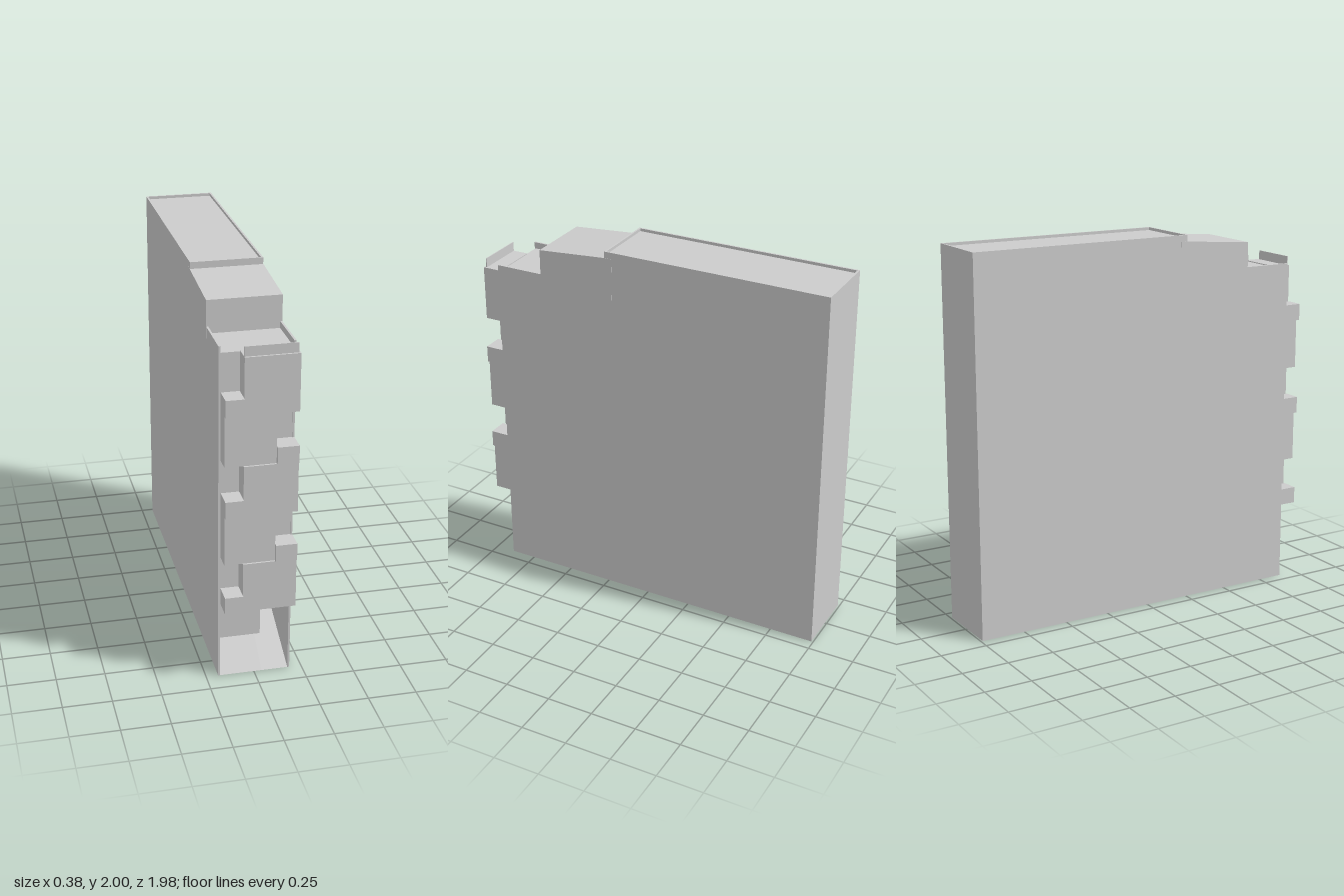
import * as THREE from 'three';

export function createModel() {
  const model = new THREE.Group();
  const mat = new THREE.MeshStandardMaterial({ color: 0xcccccc, flatShading: true, side: THREE.DoubleSide });
  const HALF = 0.1875, WALL = 0.01;

  const add = (name, geometry) => {
    const mesh = new THREE.Mesh(geometry, mat);
    mesh.name = name;
    model.add(mesh);
    return mesh;
  };

  // Box given by its lower and upper corners
  const box = (name, x0, x1, y0, y1, z0, z1) => {
    const mesh = add(name, new THREE.BoxGeometry(x1 - x0, y1 - y0, z1 - z0));
    mesh.position.set((x0 + x1) / 2, (y0 + y1) / 2, (z0 + z1) / 2);
  };

  // Side profile of [z, y] points, extruded across x
  const slab = (name, x0, x1, points) => {
    const shape = new THREE.Shape(points.map(([z, y]) => new THREE.Vector2(-z, y)));
    const geo = new THREE.ExtrudeGeometry(shape, { depth: x1 - x0, bevelEnabled: false });
    geo.rotateY(Math.PI / 2);
    geo.translate(x0, 0, 0);
    add(name, geo);
  };

  // Hollow-looking body: inner core, two side walls, back wall and top rim
  slab('bodyCore', -HALF + WALL, HALF - WALL, [
    [-0.98, 0], [0.46, 0], [0.46, 0.365], [0.885, 0.365],
    [0.885, 1.765], [0.23, 1.765], [0.23, 1.985], [-0.98, 1.985],
  ]);
  const wall = [[-0.99, 0], [0.89, 0], [0.89, 1.8], [0.24, 1.8], [0.24, 2], [-0.99, 2]];
  slab('rightWall', -HALF, -HALF + WALL, wall);
  slab('leftWall', HALF - WALL, HALF, wall);
  box('backWall', -HALF + WALL, HALF - WALL, 0, 2, -0.99, -0.98);
  box('frontRim', -HALF + WALL, HALF - WALL, 1.765, 2, 0.23, 0.24);

  // Sloping cover block in front of the tall top section
  slab('slopedCover', -HALF - 0.001, HALF + 0.001, [
    [0.2, 1.74], [0.625, 1.74], [0.625, 1.935], [0.24, 1.965], [0.2, 1.965],
  ]);

  // Upright lip at the front of the open top
  box('frontLip', -0.083, HALF - 0.008, 1.765, 1.82, 0.965, 0.97);

  // Interlocking front blocks, alternating side to side
  const PITCH = 0.5285, TAB = 0.09;
  for (let i = 0; i < 3; i++) {
    const y = 0.418 + i * PITCH;
    box('leftBlock', -0.083, HALF, y, i === 2 ? 1.77 : y + 0.265, 0.88, 0.98);
    box('rightTab', -0.175, -0.083, y, y + TAB, 0.88, 0.99);
    if (i < 2) {
      const y2 = y + 0.265;
      box('rightBlock', -0.175, 0.08, y2, y2 + 0.264, 0.88, 0.97);
      box('leftTab', 0.08, HALF, y2, y2 + TAB, 0.88, 0.99);
    }
  }

  // Lower front opening: hanging block and two ramps of different slope
  box('openingBlock', -HALF + WALL, 0.04, 0.195, 0.365, 0.46, 0.845);
  const ramp = (name, x0, x1, zTop) => slab(name, x0, x1, [
    [0.89, 0], [zTop, 0.195], [zTop, 0.19], [0.88, 0],
  ]);
  ramp('steepRamp', -HALF + WALL, 0.04, 0.625);
  ramp('shallowRamp', 0.04, HALF - WALL, 0.46);
  // Upright web between the two ramps
  slab('rampWeb', 0.037, 0.04, [[0.89, 0], [0.625, 0.195], [0.46, 0.195]]);

  return model;
}
